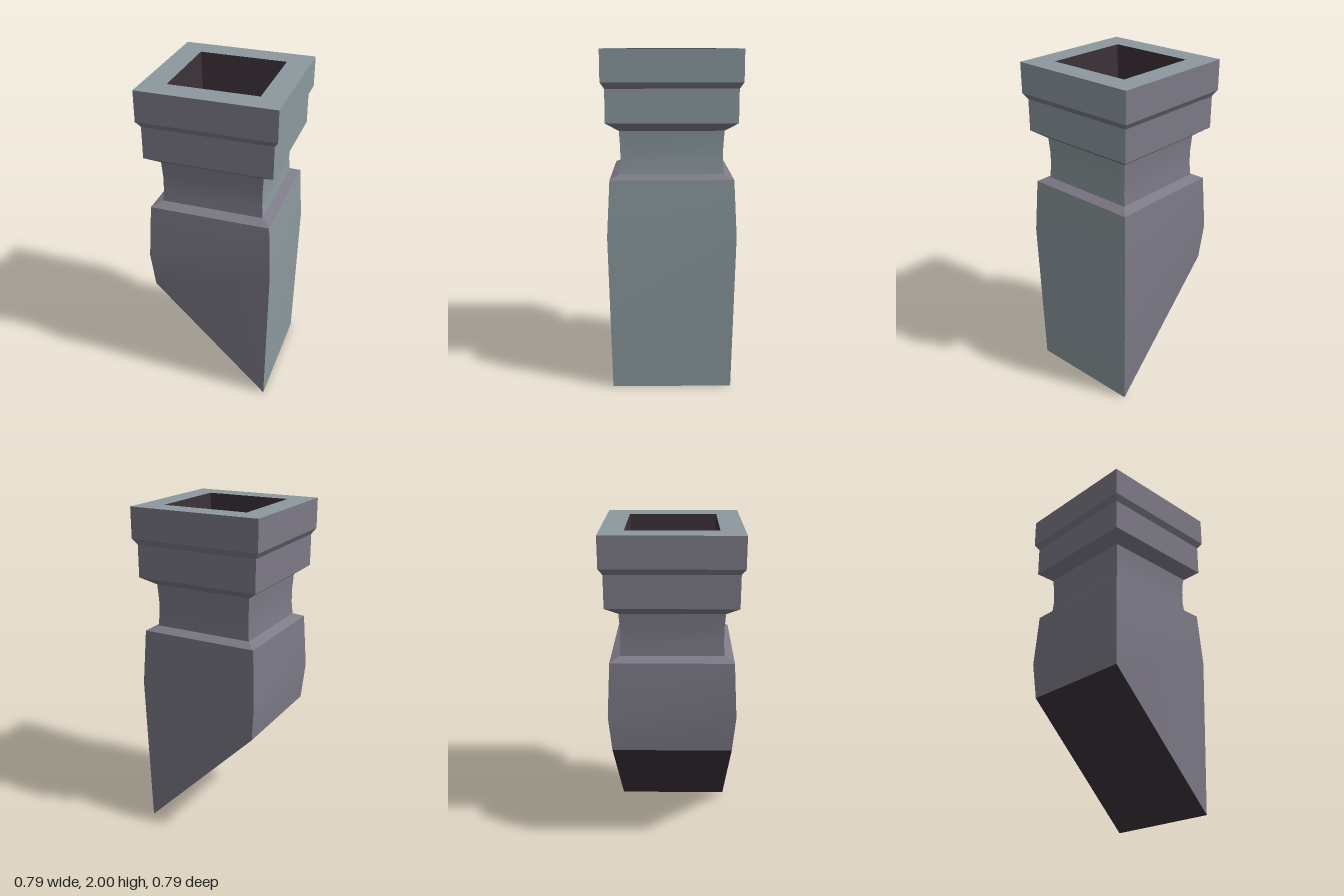
import * as THREE from 'three';
import { toCreasedNormals } from 'three/addons/utils/BufferGeometryUtils.js';

// Corner signs (x, z), going around counter-clockwise from above
const CORNERS = [[-1, 1], [1, 1], [1, -1], [-1, -1]];
const FRONT = 0, LEFT = 1, BACK = 2, RIGHT = 3;
const ALL = [FRONT, LEFT, BACK, RIGHT];

// The slanted cut under the body: low on +x, high on -x
const slant = (x) => 0.36 - x * 1.01;

// Square loft through [height, half width] rings, limited to the given sides.
function loft(rings, sides) {
  const pos = [];
  const corner = ([y, h], i) => {
    const [sx, sz] = CORNERS[i % 4];
    return [sx * h, y === 'slant' ? slant(sx * h) : y, sz * h];
  };
  for (let r = 0; r < rings.length - 1; r++) {
    const lower = rings[r], upper = rings[r + 1];
    for (const s of sides) {
      const a = corner(lower, s), b = corner(lower, s + 1);
      const c = corner(upper, s + 1), d = corner(upper, s);
      if (lower[1] > 0) pos.push(...a, ...b, ...c);
      if (upper[1] > 0) pos.push(...a, ...c, ...d);
    }
  }
  const geometry = new THREE.BufferGeometry();
  geometry.setAttribute('position', new THREE.Float32BufferAttribute(pos, 3));
  return toCreasedNormals(geometry, 0.3);
}

export function createModel() {
  const model = new THREE.Group();
  model.name = 'chimney';
  const stone = new THREE.MeshStandardMaterial({ color: 0x7d7a87 });
  stone.name = 'purple grey stone';
  const paleStone = new THREE.MeshStandardMaterial({ color: 0x8c999e });
  paleStone.name = 'pale blue grey stone';
  const soot = new THREE.MeshStandardMaterial({ color: 0x3c3138 });
  soot.name = 'dark soot';

  const add = (name, rings, sides, material) => {
    const mesh = new THREE.Mesh(loft(rings, sides), material);
    mesh.name = name;
    model.add(mesh);
  };

  // Upright courses: purple grey on three sides, pale on the +x side
  const courses = {
    body: [['slant', 0.354], [0.94, 0.373], [1.27, 0.355]],
    neck: [[1.545, 0.30], [1.45, 0.294], [1.37, 0.294], [1.295, 0.30]].reverse(),
    collar: [[1.595, 0.373], [1.785, 0.373]],
    cap: [[1.82, 0.396], [2, 0.396]],
  };
  for (const [name, rings] of Object.entries(courses)) {
    add(name, rings, [FRONT, BACK, RIGHT], stone);
    add(name + 'PaleSide', rings, [LEFT], paleStone);
  }

  // Sloping ledges between the courses
  add('shoulderLedge', [[1.27, 0.355], [1.295, 0.30]], ALL, stone);
  add('collarUndercut', [[1.545, 0.30], [1.595, 0.373]], ALL, stone);
  add('capUndercut', [[1.785, 0.373], [1.82, 0.396]], ALL, stone);

  // Top rim, the flue inside it and the slanted underside
  add('rim', [[2, 0.396], [2, 0.26]], ALL, paleStone);
  add('flue', [[2, 0.26], [1.3, 0.22], [1.3, 0]], ALL, soot);
  add('underside', [['slant', 0], ['slant', 0.354]], ALL, soot);

  return model;
}
